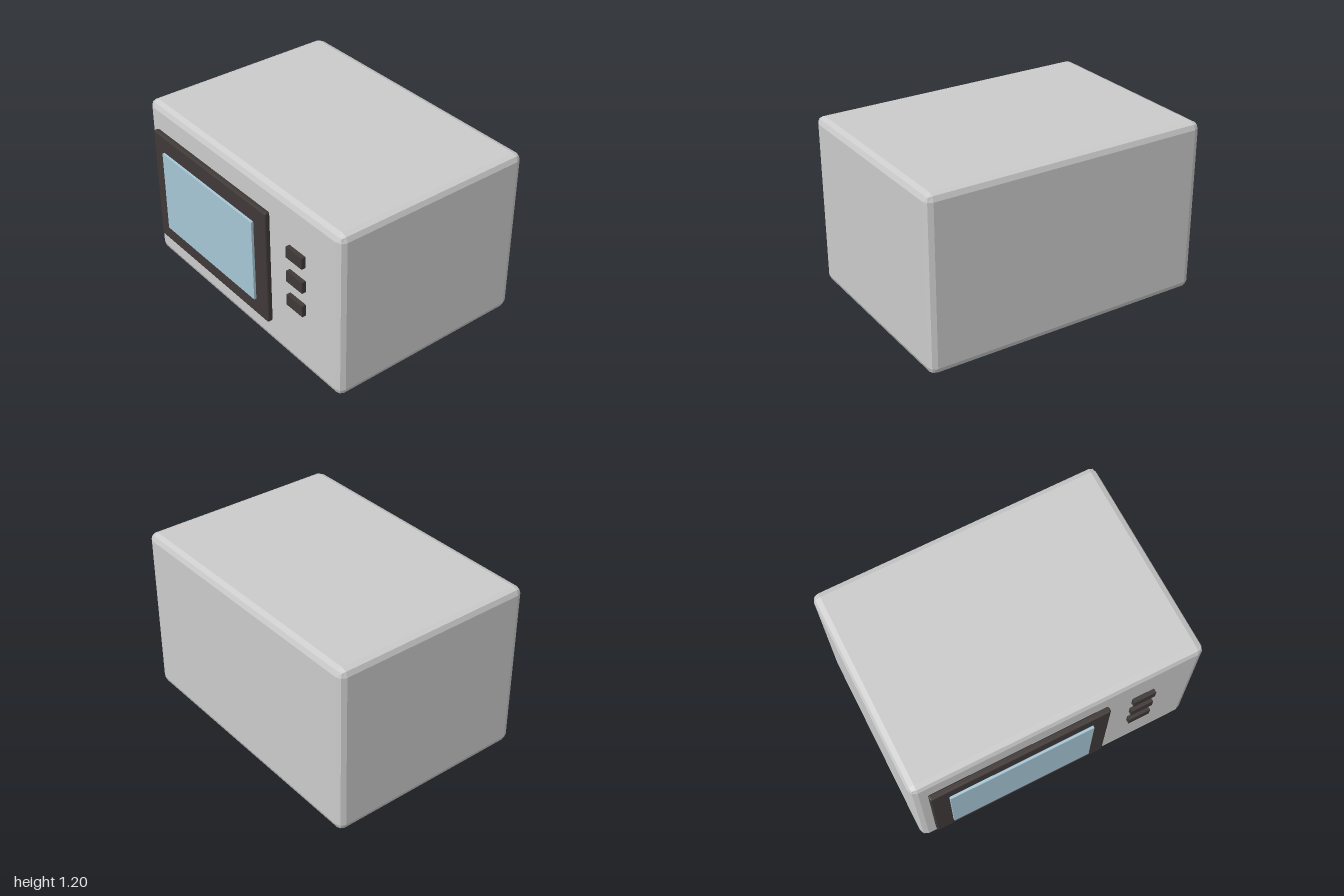
import * as THREE from 'three';
import { RoundedBoxGeometry } from 'three/addons/geometries/RoundedBoxGeometry.js';

export function createModel() {
  const model = new THREE.Group();
  model.name = 'microwave';

  const grey = new THREE.MeshStandardMaterial({ color: 0xcccccc, flatShading: true });
  const dark = new THREE.MeshStandardMaterial({ color: 0x403a38, flatShading: true });
  const glass = new THREE.MeshStandardMaterial({ color: 0xa7c7d6, flatShading: true });

  // Box between two corners, with an optional rounded edge of two facets
  function addBox(name, material, [x0, y0, z0], [x1, y1, z1], radius = 0) {
    const size = [x1 - x0, y1 - y0, z1 - z0];
    const geometry = radius
      ? new RoundedBoxGeometry(...size, 1, radius)
      : new THREE.BoxGeometry(...size);
    const mesh = new THREE.Mesh(geometry, material);
    mesh.name = name;
    mesh.position.set((x0 + x1) / 2, (y0 + y1) / 2, (z0 + z1) / 2);
    model.add(mesh);
  }

  // Casing
  addBox('casing', grey, [-1, 0, -0.747], [1, 1.197, 0.687], 0.047);

  // Door frame and its window
  addBox('doorFrame', dark, [-0.9, 0.185, 0.69], [0.335, 1.02, 0.73], 0.01);
  addBox('doorWindow', glass, [-0.78, 0.305, 0.71], [0.215, 0.9, 0.747]);

  // Control buttons
  [0.845, 0.665, 0.485].forEach((y, i) => {
    addBox(`button${i + 1}`, dark, [0.52, y - 0.04, 0.68], [0.675, y + 0.04, 0.717]);
  });

  return model;
}
